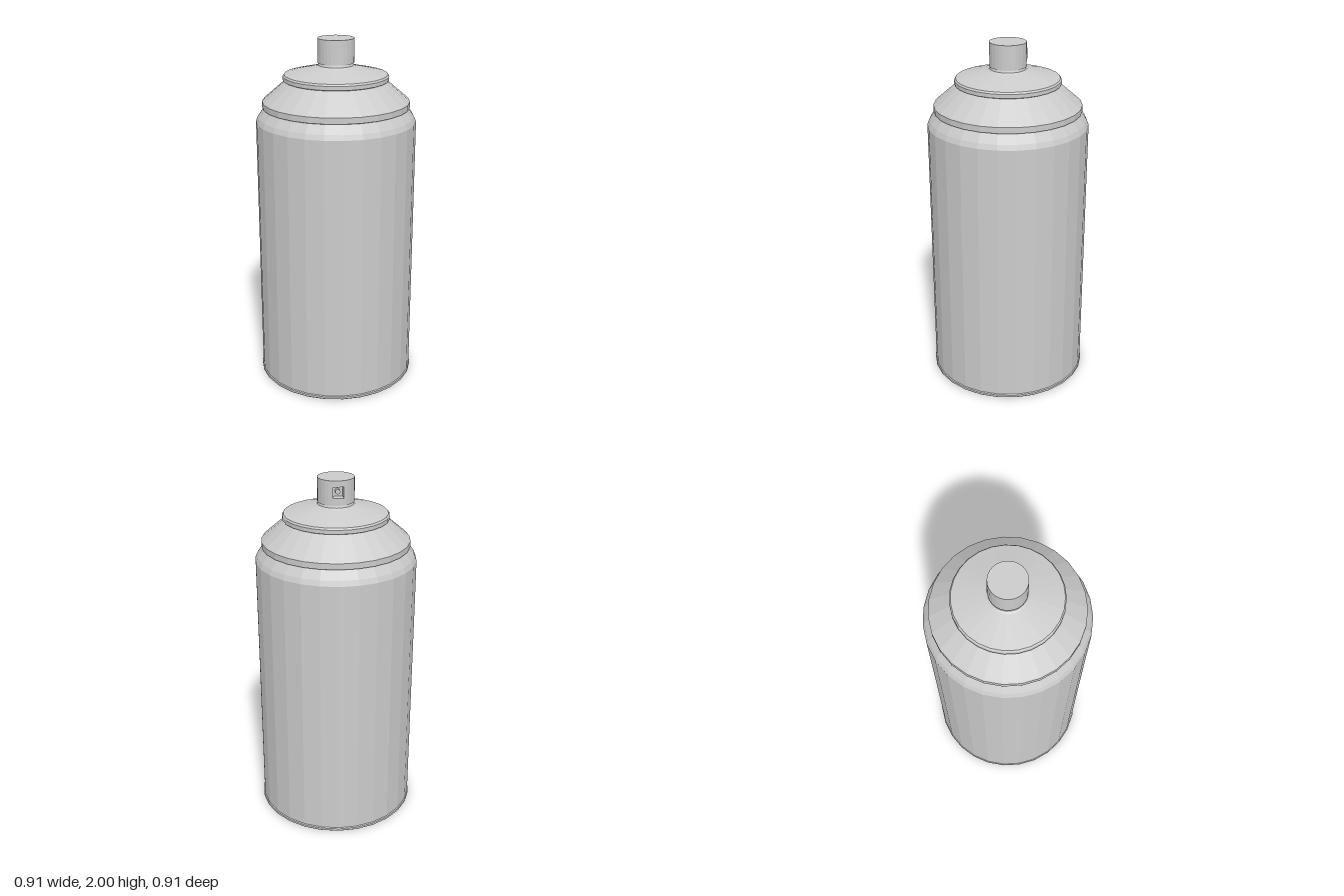
import * as THREE from 'three';

const SIDES = 27;
const grey = new THREE.MeshStandardMaterial({ color: 0xcccccc, flatShading: true });

// Turned part from [radius, height] points; by default a full turn with a corner at the back.
function turned(name, profile, start = Math.PI, sweep = Math.PI * 2, sides = SIDES) {
  const points = profile.map(([r, y]) => new THREE.Vector2(r, y));
  const mesh = new THREE.Mesh(new THREE.LatheGeometry(points, sides, start, sweep), grey);
  mesh.name = name;
  return mesh;
}

// Spray button with a small square recess facing the back corner.
function createButton() {
  const button = new THREE.Group();
  button.name = 'sprayButton';
  const R = 0.102, bottom = 1.865, top = 2;
  const low = 1.906, high = 1.966, width = 0.058, depth = 0.045;
  const facing = Math.PI * 1.25;
  const half = Math.asin(width / 2 / R);

  // Wall around the recess, then the strips below and above it
  button.add(
    turned('buttonWall', [[0, bottom], [R, bottom], [R, top], [0, top]],
      facing + half, Math.PI * 2 - half * 2, 25),
    turned('buttonWallBelowRecess', [[0, bottom], [R, bottom], [R, low]], facing - half, half * 2, 2),
    turned('buttonWallAboveRecess', [[R, high], [R, top], [0, top]], facing - half, half * 2, 2),
  );

  // Recess: an inside-out box, its near side invisible from outside
  const nozzle = new THREE.Group();
  nozzle.name = 'nozzle';
  nozzle.rotation.y = facing;
  const hollow = new THREE.BoxGeometry(width, high - low, depth);
  hollow.scale(-1, 1, 1);
  hollow.computeVertexNormals();
  const recess = new THREE.Mesh(hollow, grey);
  recess.name = 'nozzleRecess';
  recess.position.set(0, (low + high) / 2, R - depth / 2);

  // Spray tip inside the recess
  const tip = new THREE.Mesh(new THREE.CylinderGeometry(0.014, 0.014, 0.025, 12), grey);
  tip.name = 'nozzleTip';
  tip.rotation.x = Math.PI / 2;
  tip.position.set(0, (low + high) / 2, R - depth + 0.0125);
  nozzle.add(recess, tip);
  button.add(nozzle);
  return button;
}

export function createModel() {
  const can = new THREE.Group();
  can.name = 'sprayCan';
  can.add(
    turned('bottomRim', [[0, 0], [0.45, 0], [0.455, 0.005], [0.455, 0.017], [0.45, 0.022]]),
    turned('body', [[0.45, 0.022], [0.45, 1.54], [0.438, 1.568], [0.403, 1.617]]),
    turned('shoulderBand', [[0.403, 1.615], [0.413, 1.619], [0.413, 1.652], [0.405, 1.66]]),
    turned('dome', [[0.405, 1.66], [0.283, 1.765]]),
    turned('valveCup', [[0.283, 1.765], [0.295, 1.77], [0.295, 1.792], [0.288, 1.802],
      [0.112, 1.844], [0.1, 1.852], [0.095, 1.866]]),
    createButton(),
  );
  return can;
}
